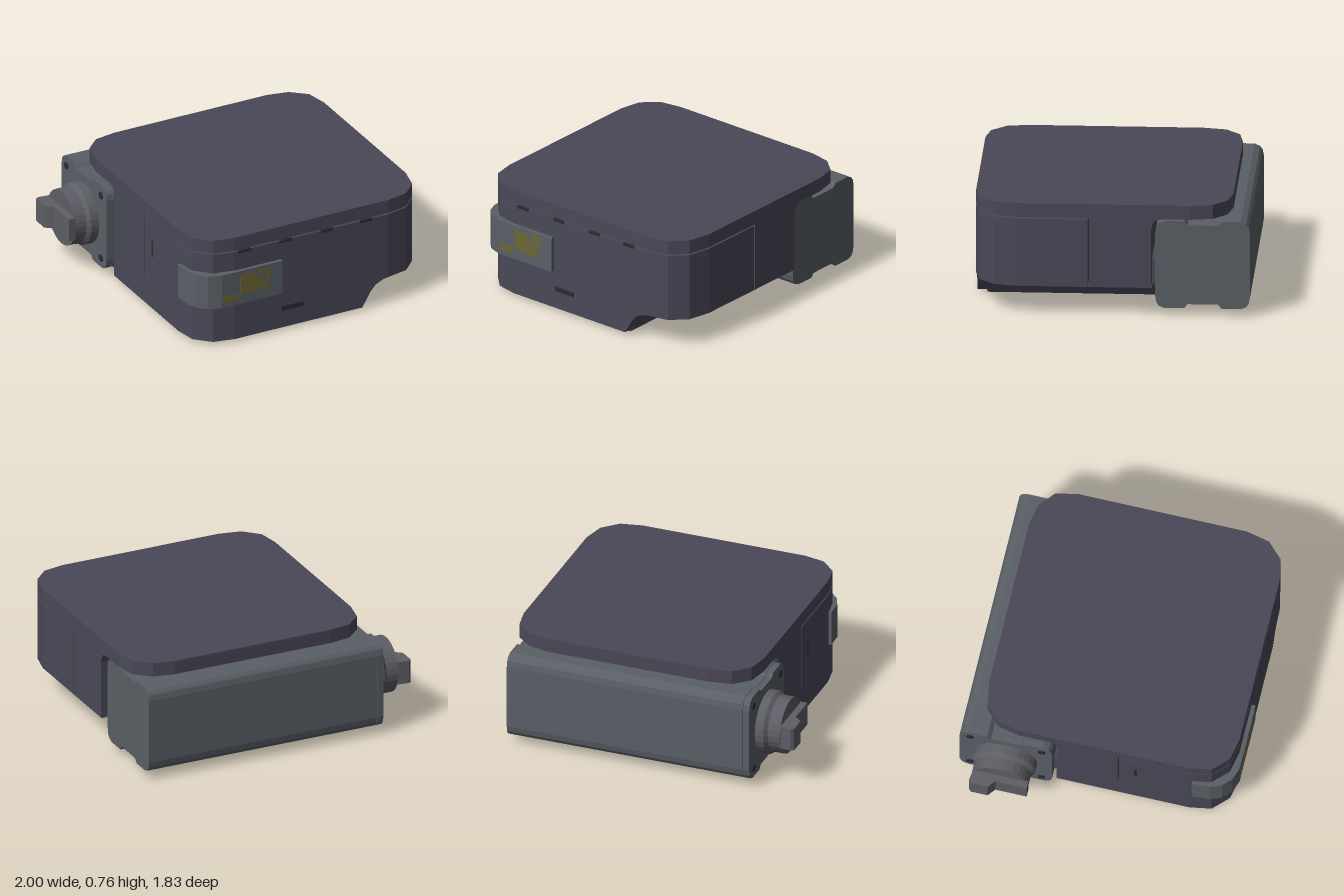
import * as THREE from 'three';

const mat = (color) => new THREE.MeshStandardMaterial({ color, side: THREE.DoubleSide });
const shell = mat(0x4a4858), steel = mat(0x596066), grip = mat(0x5e5e66), amber = mat(0x6e6635), dark = mat(0x2c2b34);

// Plan outline (x, z) of the housing: a square with faceted round corners
const OUTLINE = [
  [1, 0.6], [0.965, 0.755], [0.865, 0.855], [0.72, 0.885],
  [-0.42, 0.885], [-0.565, 0.855], [-0.665, 0.755], [-0.69, 0.61],
  [-0.69, -0.53], [-0.66, -0.68], [-0.56, -0.775], [-0.41, -0.8],
  [0.72, -0.8], [0.865, -0.77], [0.97, -0.68], [1, -0.53],
];

// Stack the outline through levels, trimming each ring to its own limits
function loft(outline, levels) {
  const rings = levels.map(({ y, xMax = 2, zMin = -2, zMax = 2 }) =>
    outline.map(([x, z]) => [Math.min(x, xMax), y, Math.max(zMin, Math.min(z, zMax))]));
  const pos = [], n = outline.length, tri = (...p) => p.forEach((v) => pos.push(...v));
  for (let k = 0; k + 1 < rings.length; k++) {
    for (let i = 0; i < n; i++) {
      const j = (i + 1) % n, lo = rings[k], hi = rings[k + 1];
      tri(lo[i], hi[i], hi[j]);
      tri(lo[i], hi[j], lo[j]);
    }
  }
  const bottom = rings[0], top = rings[rings.length - 1];
  for (let i = 1; i < n - 1; i++) {
    tri(bottom[0], bottom[i], bottom[i + 1]);
    tri(top[0], top[i + 1], top[i]);
  }
  const g = new THREE.BufferGeometry();
  g.setAttribute('position', new THREE.Float32BufferAttribute(pos, 3));
  g.computeVertexNormals();
  return g;
}

const extrude = (pts, depth) => new THREE.ExtrudeGeometry(
  new THREE.Shape(pts.map(([x, y]) => new THREE.Vector2(x, y))), { depth, bevelEnabled: false });

// Slab drawn in plan (x, z) between two heights
const planSlab = (pts, y0, y1) => extrude(pts, y1 - y0).rotateX(Math.PI / 2).translate(0, y1, 0);

export function createModel() {
  const model = new THREE.Group();
  const add = (name, geometry, material) => {
    const m = new THREE.Mesh(geometry, material);
    m.name = name;
    model.add(m);
    return m;
  };
  const box = (name, material, x0, x1, y0, y1, z0, z1) =>
    add(name, new THREE.BoxGeometry(x1 - x0, y1 - y0, z1 - z0), material)
      .position.set((x0 + x1) / 2, (y0 + y1) / 2, (z0 + z1) / 2);

  // Housing: lid, middle block, front block and undercut base
  add('lid', loft(OUTLINE, [{ y: 0.67 }, { y: 0.765 }]), shell);
  add('middleBlock', loft(OUTLINE, [[0.2, -0.275], [0.6, -0.275], [0.64, -0.285], [0.66, -0.305], [0.672, -0.345]]
    .map(([y, zMin]) => ({ y, zMin, zMax: 0.13 }))), shell);
  add('frontBlock', loft(OUTLINE, [{ y: 0.2, zMin: 0.14 }, { y: 0.66, zMin: 0.14 }]), shell);
  add('base', loft(OUTLINE, [[0.02, 0.525], [0.06, 0.55], [0.12, 0.585], [0.165, 0.625], [0.19, 0.68], [0.197, 0.72], [0.198, 2], [0.203, 2]]
    .map(([y, xMax]) => ({ y, xMax, zMin: -0.28 }))), shell);
  box('cradleLip', shell, -0.68, 0.9, 0.2, 0.37, -0.305, -0.27);

  // Bottom plate reaching under the rear unit
  const plate = OUTLINE.map(([x, z]) => [-0.62 + (x + 0.69) * 0.94, 0.05 + (z - 0.0425) * 0.914]);
  add('bottomPlate', loft(plate, [{ y: 0, xMax: 0.515 }, { y: 0.06, xMax: 0.55 }]), shell);

  // Rear unit: rounded bar with shallow channels above and below
  const bar = [
    [0.3, 0.13], [0.308, 0.09], [0.325, 0.065], [0.36, 0.052], [0.49, 0.052], [0.51, 0.08],
    [0.71, 0.08], [0.735, 0.052], [0.86, 0.052], [0.895, 0.065], [0.912, 0.09], [0.92, 0.13],
    [0.92, 0.57], [0.912, 0.61], [0.895, 0.632], [0.86, 0.648], [0.735, 0.648], [0.71, 0.62],
    [0.51, 0.62], [0.49, 0.648], [0.36, 0.648], [0.325, 0.632], [0.308, 0.61], [0.3, 0.57],
  ];
  add('rearUnit', extrude(bar, 1.655).rotateY(Math.PI / 2).translate(-0.69, 0, 0), steel);
  add('rearEndCap', extrude(bar, 0.044).rotateY(Math.PI / 2).translate(-0.737, 0, 0), steel);
  for (const z of [-0.37, -0.85]) {
    for (const y of [0.12, 0.58]) {
      add('endCapScrew', new THREE.CylinderGeometry(0.025, 0.025, 0.012, 12).rotateZ(Math.PI / 2), dark)
        .position.set(-0.738, y, z);
    }
  }

  // Knob: stepped drum with a lever grip
  const drum = [[0, 0], [0.212, 0], [0.212, 0.06], [0.19, 0.085], [0.19, 0.17], [0, 0.17]]
    .map(([r, h]) => new THREE.Vector2(r, h));
  const drumMesh = add('knobDrum', new THREE.LatheGeometry(drum, 28).toNonIndexed().rotateZ(Math.PI / 2), grip);
  drumMesh.geometry.computeVertexNormals();
  drumMesh.position.set(-0.735, 0.35, -0.61);
  add('knobGrip', planSlab([
    [-0.9, -0.79], [-0.98, -0.8], [-1, -0.785], [-1, -0.67], [-0.95, -0.63], [-0.95, -0.42], [-0.9, -0.42],
  ], 0.27, 0.43), grip);

  // Sensor plate wrapped around the front corner, with amber windows
  add('sensorPlate', planSlab([
    [-0.08, 0.912], [-0.53, 0.912], [-0.615, 0.882], [-0.67, 0.825], [-0.7, 0.75], [-0.705, 0.63],
    [-0.68, 0.63], [-0.655, 0.755], [-0.56, 0.85], [-0.42, 0.88], [-0.08, 0.88],
  ], 0.285, 0.525), steel);
  const windows = [
    [[-0.39, 0.355], [-0.17, 0.355], [-0.285, 0.492], [-0.39, 0.492]],
    [[-0.17, 0.395], [-0.17, 0.502], [-0.265, 0.502]],
    [[-0.525, 0.32], [-0.41, 0.32], [-0.41, 0.365], [-0.525, 0.365]],
  ];
  for (const w of windows) add('sensorWindow', extrude(w, 0.01).translate(0, 0, 0.904), amber);

  // Small slots in the front and right side
  for (const x of [-0.345, -0.04, 0.265, 0.555]) box('lidSlot', dark, x - 0.047, x + 0.047, 0.643, 0.661, 0.86, 0.887);
  box('frontSlot', dark, -0.07, 0.09, 0.142, 0.175, 0.86, 0.887);
  box('sideSlot', dark, -0.692, -0.67, 0.4, 0.52, 0.24, 0.26);

  return model;
}
